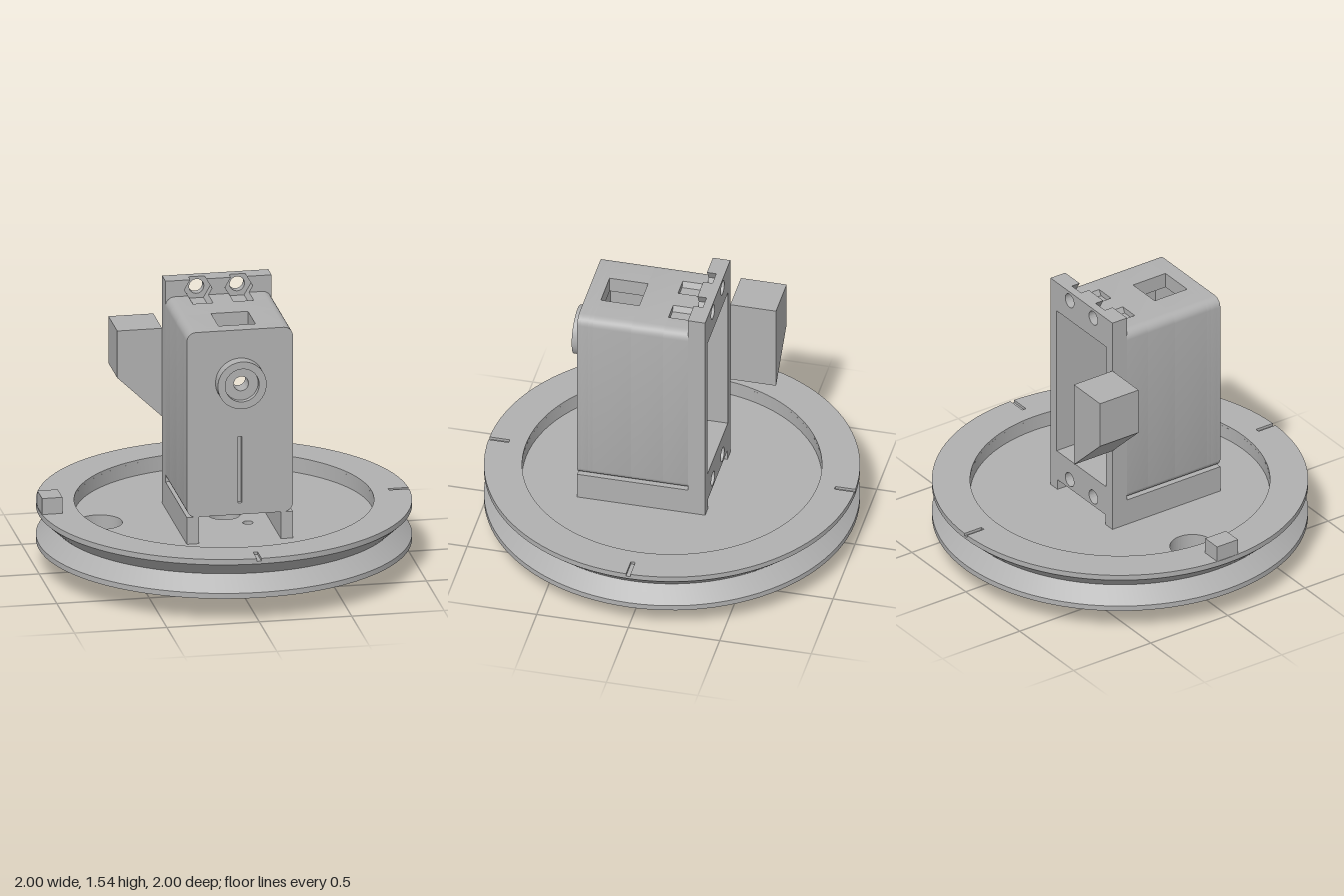
import * as THREE from 'three';
import { toCreasedNormals } from 'three/addons/utils/BufferGeometryUtils.js';

const grey = new THREE.MeshStandardMaterial({ color: 0xb0b0b0 });
grey.name = 'plain grey';

const HALF = 0.287, TOP = 1.455, FLANGE_TOP = 1.545, MID = 0.9375; // housing
const CAV_X = 0.23, CAV_TOP = 1.37, CAV_BOTTOM = 2 * MID - CAV_TOP;
const NUT_X = 0.11, NUT_Y = 1.49, NUT_R = 0.075;
const FLOOR_Y = 0.27, RIM_Y = 0.355, BASE_Y = 0.135;

const v2 = (x, y) => new THREE.Vector2(x, y);

function add(parent, name, geometry) {
  const mesh = new THREE.Mesh(geometry, grey);
  mesh.name = name;
  parent.add(mesh);
  return mesh;
}

function circle(x, y, r) {
  return new THREE.Path().absarc(x, y, r, 0, Math.PI * 2, true);
}

function rectPath(x0, y0, x1, y1) {
  return new THREE.Path([v2(x0, y0), v2(x0, y1), v2(x1, y1), v2(x1, y0)]);
}

function extrude(shape, holes, depth, curveSegments = 32) {
  shape.holes.push(...holes);
  const g = new THREE.ExtrudeGeometry(shape, { depth, bevelEnabled: false, curveSegments });
  return toCreasedNormals(g, 0.5);
}

// Slice standing in the xy plane, running from z0 to z1
function sliceZ(parent, name, shape, holes, z0, z1) {
  return add(parent, name, extrude(shape, holes, z1 - z0).translate(0, 0, z0));
}

// Layer lying flat, running from y0 to y1 (shape y becomes -z)
function layerY(parent, name, shape, holes, y0, y1, segments) {
  const g = extrude(shape, holes, y1 - y0, segments).rotateX(-Math.PI / 2).translate(0, y0, 0);
  return add(parent, name, g);
}

// Top edge from right to left, with optional rounded corners and cut-outs
function topEdge(y, r, cuts) {
  const pts = [];
  const corner = (side) => {
    if (!r) return pts.push(v2(side * HALF, y));
    for (let i = 0; i <= 8; i++) {
      const a = (side > 0 ? i / 8 : 1 + i / 8) * Math.PI / 2;
      pts.push(v2(side * (HALF - r) + r * Math.cos(a), y - r + r * Math.sin(a)));
    }
  };
  corner(1);
  pts.push(...cuts);
  corner(-1);
  return pts;
}

// Closed outline: the bottom edge is the top edge turned by half a circle
function outline(y, r, topCuts = [], bottomCuts = topCuts) {
  const bottom = topEdge(y, r, bottomCuts).map((p) => v2(-p.x, 2 * MID - p.y));
  return new THREE.Shape([...topEdge(y, r, topCuts), ...bottom]);
}

// Two hexagonal nut pockets cut by an edge at height y
function nutCuts(y) {
  const w = NUT_R - Math.abs(y - NUT_Y) / Math.sqrt(3);
  const low = NUT_Y - NUT_R * Math.sqrt(3) / 2;
  return [NUT_X, -NUT_X].flatMap((cx) => {
    const right = [[w, y]];
    if (y > NUT_Y) right.push([NUT_R, NUT_Y]);
    right.push([NUT_R / 2, low]);
    const left = right.map(([x, h]) => [-x, h]).reverse();
    return [...right, ...left].map(([x, h]) => v2(cx + x, h));
  });
}

function createPulley() {
  const g = new THREE.Group();
  g.name = 'pulley';

  // Grooved rim
  const profile = [[0.797, BASE_Y], [1, BASE_Y], [1, 0.165], [0.915, 0.247], [1, 0.325],
    [1, 0.34], [0.797, 0.34], [0.797, BASE_Y]].map(([x, y]) => v2(x, y));
  add(g, 'grooved rim', toCreasedNormals(new THREE.LatheGeometry(profile, 96), 0.5));

  // Top of the rim with index notches on three sides
  const pts = [];
  const half = 0.012;
  for (let q = 0; q < 4; q++) {
    const a0 = q * Math.PI / 2;
    if (q !== 2) {
      for (const [r, s] of [[1, -1], [0.89, -1], [0.89, 1], [1, 1]]) {
        pts.push(v2(r * Math.cos(a0) - s * half * Math.sin(a0), r * Math.sin(a0) + s * half * Math.cos(a0)));
      }
    } else pts.push(v2(-1, 0));
    for (let i = 1; i < 24; i++) {
      const a = a0 + (i / 24) * Math.PI / 2;
      pts.push(v2(Math.cos(a), Math.sin(a)));
    }
  }
  layerY(g, 'notched rim top', new THREE.Shape(pts), [circle(0, 0, 0.797)], 0.34, RIM_Y, 96);

  // Floor with wire hole, shaft hole and small screw hole
  const floor = new THREE.Shape().absarc(0, 0, 0.799, 0, Math.PI * 2);
  layerY(g, 'floor', floor,
    [circle(-0.672, 0, 0.12), circle(0, 0, 0.085), circle(0.1, -0.155, 0.028)], BASE_Y, FLOOR_Y, 96);

  // Index block
  add(g, 'index block', new THREE.BoxGeometry(0.11, 0.1, 0.135).translate(-0.942, 0.395, 0));
  return g;
}

function createGear() {
  const teeth = 28, pts = [];
  for (let i = 0; i < teeth; i++) {
    for (const [f, r] of [[0, 0.255], [0.4, 0.255], [0.55, 0.31], [0.85, 0.31]]) {
      const a = ((i + f) / teeth) * Math.PI * 2;
      pts.push(v2(r * Math.cos(a), r * Math.sin(a)));
    }
  }
  const g = new THREE.Group();
  g.name = 'gear';
  layerY(g, 'toothed ring', new THREE.Shape(pts), [circle(0, 0, 0.23)], 0, BASE_Y, 48);
  return g;
}

function createHousing() {
  const g = new THREE.Group();
  g.name = 'housing';
  const cavity = () => rectPath(-CAV_X, CAV_BOTTOM, CAV_X, CAV_TOP);
  const screwHoles = [-1, 1].flatMap((s) =>
    [NUT_Y, 2 * MID - NUT_Y].map((y) => circle(s * NUT_X, y, 0.04)));
  const R = 0.05;

  // Rear flange: screw holes behind, nut pockets in front
  sliceZ(g, 'flange back', outline(FLANGE_TOP, 0), [cavity(), ...screwHoles], -0.25, -0.205);
  sliceZ(g, 'flange front', outline(FLANGE_TOP, 0, nutCuts(FLANGE_TOP)), [cavity()], -0.205, -0.155);

  // Hollow body, slice by slice towards the front
  sliceZ(g, 'body with nut troughs', outline(TOP, R, nutCuts(TOP)), [cavity()], -0.155, -0.02);
  sliceZ(g, 'body middle', outline(TOP, R), [cavity()], -0.02, 0.155);
  const windowCut = [[0.1, TOP], [0.1, CAV_TOP], [CAV_X, CAV_TOP], [CAV_X, CAV_BOTTOM],
    [-CAV_X, CAV_BOTTOM], [-CAV_X, CAV_TOP], [-0.1, CAV_TOP], [-0.1, TOP]].map(([x, y]) => v2(x, y));
  sliceZ(g, 'body with top window', outline(TOP, R, windowCut, []), [], 0.155, 0.365);
  sliceZ(g, 'body front', outline(TOP, R), [cavity()], 0.365, 0.39);

  // Front wall with bore and shallow marker groove
  const boreY = 1.165;
  const bore = () => circle(0, boreY, 0.04);
  sliceZ(g, 'front wall', outline(TOP, R), [bore()], 0.39, 0.43);
  sliceZ(g, 'grooved front face', outline(TOP, R), [bore(), rectPath(-0.011, 0.485, 0.011, 0.857)], 0.43, 0.45);

  // Counterbored boss
  const disc = () => new THREE.Shape().absarc(0, boreY, 0.132, 0, Math.PI * 2);
  sliceZ(g, 'boss base', disc(), [bore()], 0.45, 0.485);
  sliceZ(g, 'boss ring', disc(), [circle(0, boreY, 0.092)], 0.485, 0.517);

  // Side feet
  for (const s of [-1, 1]) {
    add(g, s > 0 ? 'left foot' : 'right foot',
      new THREE.BoxGeometry(0.065, 0.15, 0.7).translate(s * (HALF - 0.0325), FLOOR_Y + 0.075, 0.1));
  }

  // Wedge-bottomed block at the rear corner
  const wedge = new THREE.Shape([v2(-HALF, 0.755), v2(-HALF, 1.25), v2(-0.53, 1.25), v2(-0.53, 0.987)]);
  sliceZ(g, 'rear side block', wedge, [], -0.5, -0.25);
  return g;
}

export function createModel() {
  const model = new THREE.Group();
  model.name = 'pulley with housing';
  model.add(createPulley(), createGear(), createHousing());
  return model;
}
